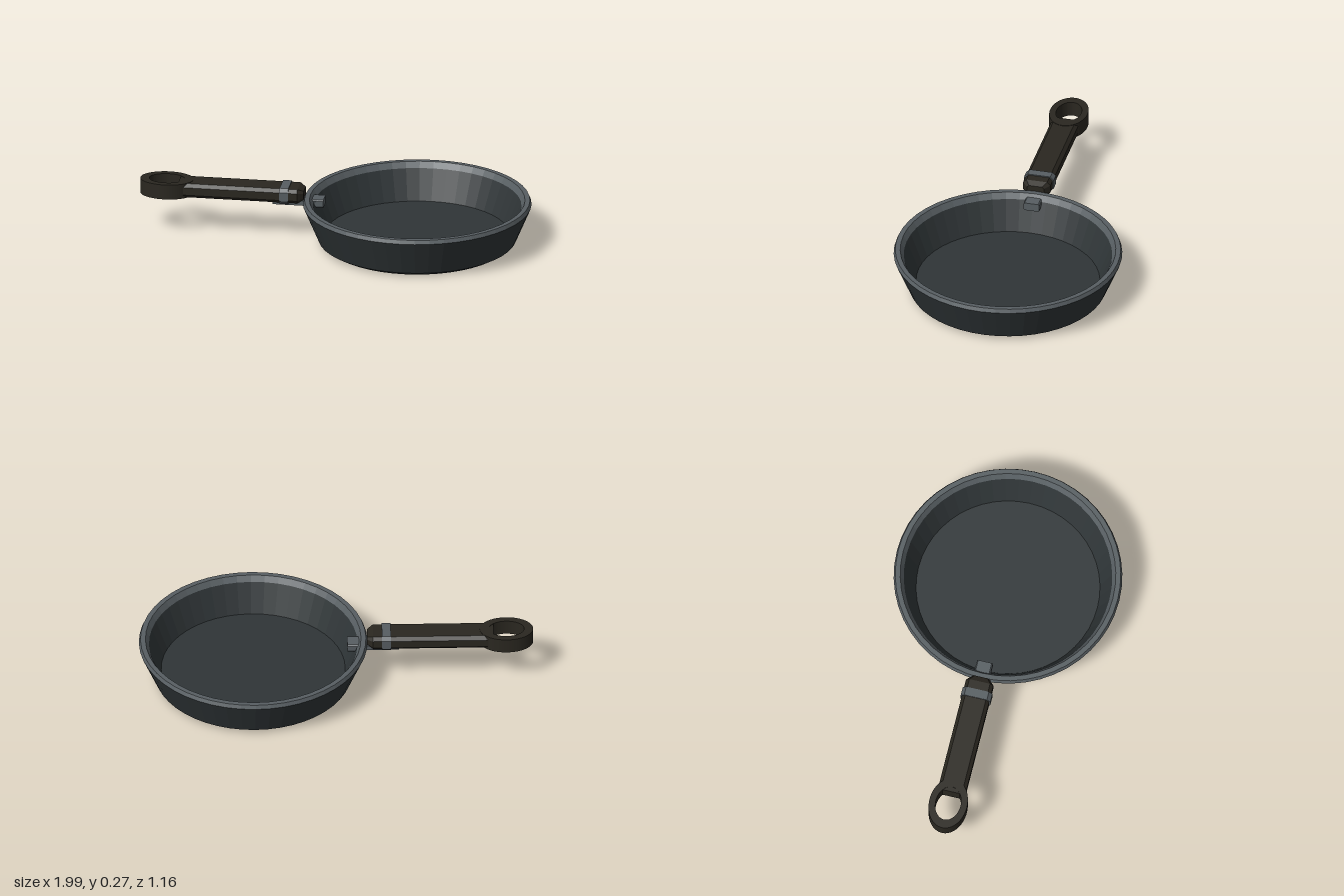
import * as THREE from 'three';

const material = (color) => new THREE.MeshStandardMaterial({ color, flatShading: true });

export function createModel() {
  const group = new THREE.Group();
  const iron = material(0x2f3537);
  const steel = material(0x575e62);
  const grip = material(0x2a2720);
  const panX = 0.415, handleY = 0.228;

  const add = (name, geometry, mat, x = 0, y = 0, z = 0) => {
    const mesh = new THREE.Mesh(geometry, mat);
    mesh.name = name;
    mesh.position.set(x, y, z);
    group.add(mesh);
    return mesh;
  };
  const lathe = (points) =>
    new THREE.LatheGeometry(points.map(([r, y]) => new THREE.Vector2(r, y)), 48);

  // Chamfered bar along x; its far end is scaled by endScale
  const bar = (x0, x1, halfW, halfH, cut, endScale = 1) => {
    const w = halfW - cut, h = halfH - cut;
    const shape = new THREE.Shape([
      [halfW, -h], [halfW, h], [w, halfH], [-w, halfH],
      [-halfW, h], [-halfW, -h], [-w, -halfH], [w, -halfH],
    ].map(([x, y]) => new THREE.Vector2(x, y)));
    const geo = new THREE.ExtrudeGeometry(shape, { depth: x1 - x0, bevelEnabled: false });
    const p = geo.attributes.position;
    for (let i = 0; i < p.count; i++) {
      if (p.getZ(i) > 1e-6) p.setXY(i, p.getX(i) * endScale, p.getY(i) * endScale);
    }
    return geo.rotateY(Math.PI / 2).translate(x0, 0, 0);
  };

  // Pan: outside, rim and inside
  add('panOutside', lathe([[0, 0], [0.465, 0], [0.5, 0.02], [0.578, 0.205]]), iron, panX);
  add('panRim', lathe([[0.578, 0.205], [0.57, 0.225], [0.545, 0.225], [0.527, 0.195]]), steel, panX);
  add('panInside', lathe([[0.527, 0.195], [0.465, 0.04], [0, 0.04]]), iron, panX);

  // Handle grip with a tapered front end
  add('handleGrip', bar(-0.8, -0.19, 0.071, 0.037, 0.017), grip, 0, handleY);
  add('handleTip', bar(-0.19, -0.16, 0.071, 0.037, 0.017, 0.62), grip, 0, handleY);

  // Oval hanging loop
  const loop = new THREE.Shape().absellipse(0, 0, 0.135, 0.097, 0, Math.PI * 2);
  loop.holes.push(new THREE.Path().absellipse(0, 0, 0.09, 0.064, 0, Math.PI * 2, true));
  const loopGeo = new THREE.ExtrudeGeometry(loop, { depth: 0.078, bevelEnabled: false, curveSegments: 32 });
  add('hangingLoop', loopGeo.rotateX(-Math.PI / 2), grip, -0.865, handleY - 0.039);

  // Collar round the grip, bracket under it and mounting block inside the wall
  add('collar', bar(-0.28, -0.235, 0.077, 0.042, 0.018), steel, 0, handleY);
  add('bracket', new THREE.BoxGeometry(0.22, 0.025, 0.08), steel, -0.21, 0.187);
  add('mountingBlock', bar(-0.14, -0.06, 0.041, 0.021, 0.006), steel, 0, 0.187, -0.004);

  return group;
}
